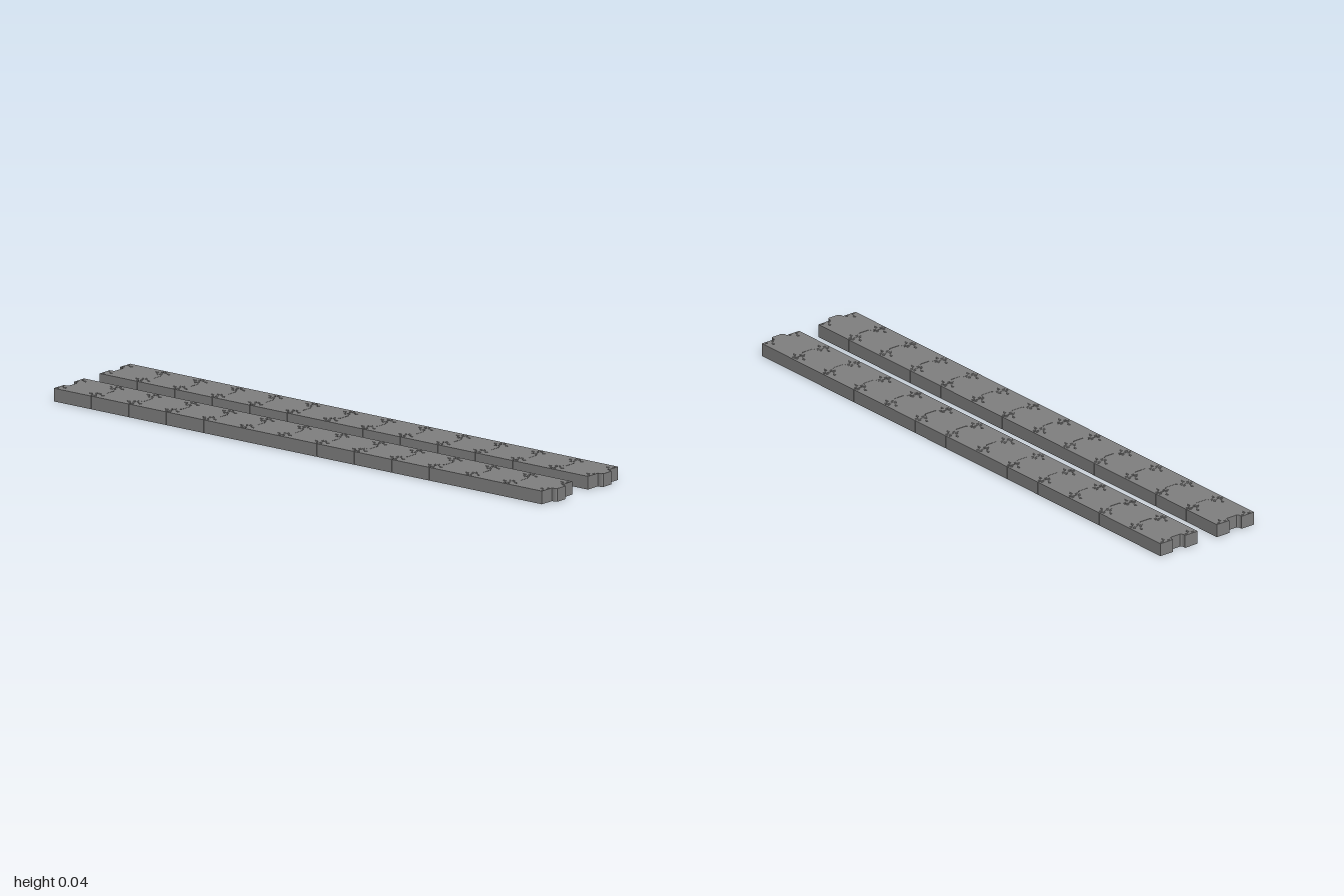
import * as THREE from 'three';
import { mergeGeometries } from 'three/addons/utils/BufferGeometryUtils.js';

const COUNT = 13, TAB = 0.018, GAP = 0.0015;
const PITCH = (2 - TAB + GAP) / COUNT, LENGTH = PITCH - GAP;
const WIDTH = 0.152, HEIGHT = 0.043, ROW_Z = 0.115, GROOVE_DEPTH = 0.004;

const material = new THREE.MeshStandardMaterial({
  color: 0x808080, flatShading: true, side: THREE.DoubleSide,
});

// Link outline: rounded tab at +x, matching notch at -x
function linkOutline() {
  const w = WIDTH / 2;
  const half = [[0, 0.025], [0.009, 0.025], [0.014, 0.0235], [TAB, 0.019]];
  const joint = [...half.map(([x, y]) => [x, -y]), ...[...half].reverse()];
  const points = [
    [0, -w], [LENGTH, -w],
    ...joint.map(([x, y]) => [x + LENGTH, y]),
    [LENGTH, w], [0, w],
    ...[...joint].reverse(),
  ];
  return points.map(([x, y]) => new THREE.Vector2(x, y));
}

// Short grooves beside both joints: centre x, centre z, size x, size z
function grooveRects() {
  const list = [];
  for (const side of [-1, 1]) {
    for (const z of [-1, 1]) {
      const at = (offset) => LENGTH / 2 + side * (LENGTH / 2 - offset);
      list.push([at(0.022), z * 0.05, 0.016, 0.006]);
      list.push([at(0.007), z * 0.062, 0.005, 0.014]);
      list.push([at(0.007), z * 0.036, 0.005, 0.012]);
    }
  }
  return list;
}

// Flat top sheet with the grooves cut out
function topGeometry(outline, rects) {
  const shape = new THREE.Shape(outline);
  for (const [x, z, w, d] of rects) {
    shape.holes.push(new THREE.Path([[-1, -1], [1, -1], [1, 1], [-1, 1]]
      .map(([i, j]) => new THREE.Vector2(x + i * w / 2, z + j * d / 2))));
  }
  return new THREE.ShapeGeometry(shape).rotateX(-Math.PI / 2).translate(0, HEIGHT, 0);
}

// Groove with four slopes running down to a point
function grooveGeometry([x, z, w, d]) {
  return new THREE.ConeGeometry(Math.SQRT1_2, 1, 4, 1, true)
    .rotateY(Math.PI / 4).rotateX(Math.PI)
    .scale(w, GROOVE_DEPTH, d)
    .translate(x, HEIGHT - GROOVE_DEPTH / 2, z);
}

// Open-bottomed wall following the outline
function skirtGeometry(points) {
  const pos = [];
  points.forEach((a, i) => {
    const b = points[(i + 1) % points.length];
    pos.push(a.x, 0, -a.y, b.x, 0, -b.y, b.x, HEIGHT, -b.y);
    pos.push(a.x, 0, -a.y, b.x, HEIGHT, -b.y, a.x, HEIGHT, -a.y);
  });
  const geometry = new THREE.BufferGeometry();
  geometry.setAttribute('position', new THREE.Float32BufferAttribute(pos, 3));
  geometry.computeVertexNormals();
  return geometry;
}

export function createModel() {
  const model = new THREE.Group();
  model.name = 'trackPair';

  const outline = linkOutline();
  const rects = grooveRects();
  const parts = {
    walls: skirtGeometry(outline),
    topPlate: topGeometry(outline, rects),
    grooves: mergeGeometries(rects.map(grooveGeometry)),
  };

  // Two parallel rows of interlocking links
  for (const side of [1, -1]) {
    const row = new THREE.Group();
    row.name = side > 0 ? 'frontTrack' : 'backTrack';
    row.position.z = side * ROW_Z;
    for (let i = 0; i < COUNT; i++) {
      const link = new THREE.Group();
      link.name = `link${i + 1}`;
      link.position.x = -1 + i * PITCH;
      for (const [name, geometry] of Object.entries(parts)) {
        const mesh = new THREE.Mesh(geometry, material);
        mesh.name = name;
        link.add(mesh);
      }
      row.add(link);
    }
    model.add(row);
  }
  return model;
}
